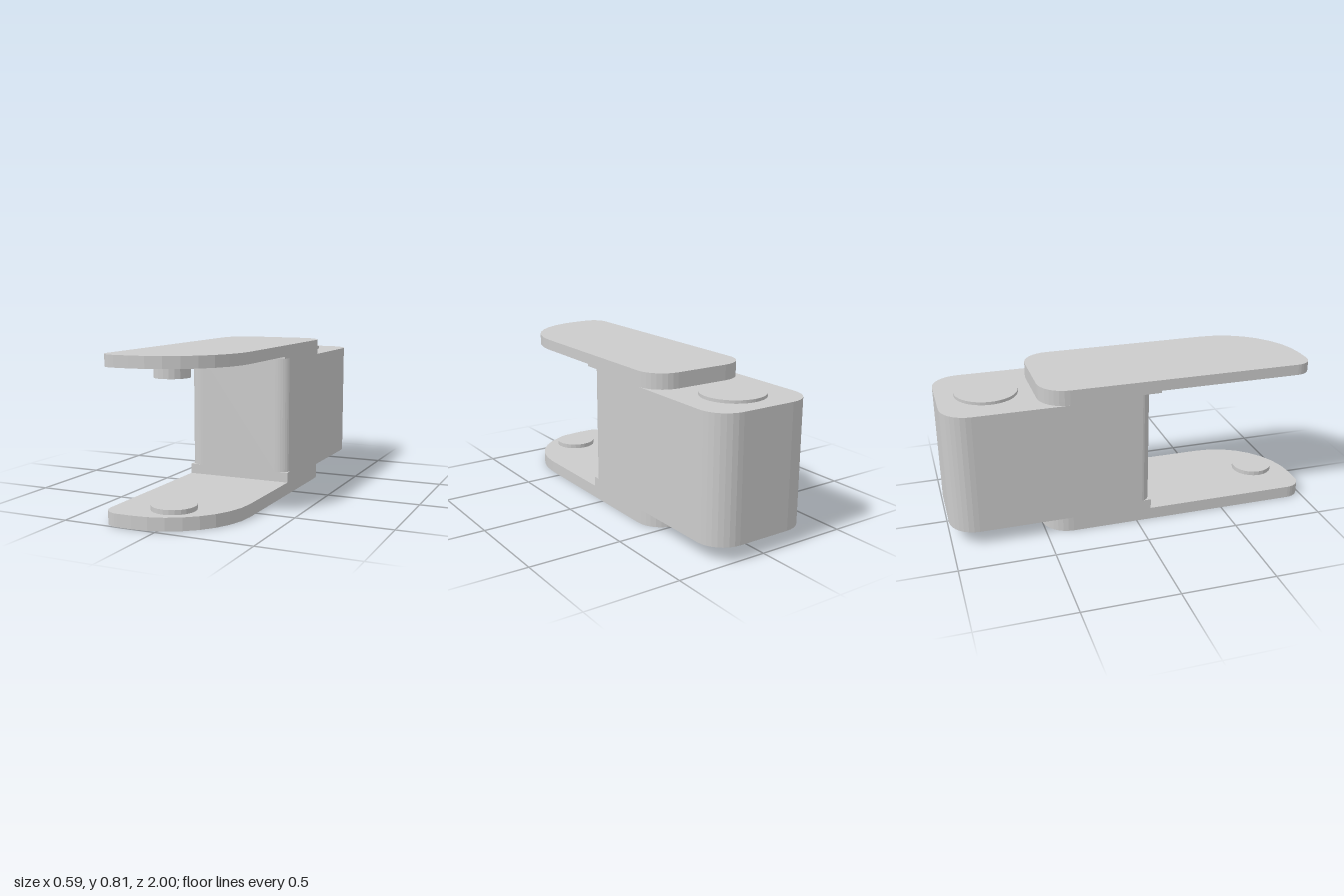
import * as THREE from 'three';

const W = 0.294; // half width of the link
const material = new THREE.MeshStandardMaterial({ color: 0xcccccc, flatShading: true });

// Plan outline with elliptical corners: [rx, rz] for left-front, right-front; round rear corners.
// Shape y is -z, so the rear is at the top.
function outline(rear, front, leftFront, rightFront, rearRadius = 0.145) {
  const s = new THREE.Shape();
  const corners = [
    [1, -front, leftFront, -0.5],
    [1, -rear, [rearRadius, rearRadius], 0],
    [-1, -rear, [rearRadius, rearRadius], 0.5],
    [-1, -front, rightFront, 1],
  ];
  s.moveTo(-W + rightFront[0], -front);
  for (const [sx, y, [rx, ry], turn] of corners) {
    const inward = y === -front ? 1 : -1;
    if (rx === 0) s.lineTo(sx * W, y);
    else {
      s.absellipse(sx * (W - rx), y + inward * ry, rx, ry,
        turn * Math.PI, (turn + 0.5) * Math.PI, false, 0);
    }
  }
  s.closePath();
  return s;
}

function layer(name, shape, y0, y1) {
  const geo = new THREE.ExtrudeGeometry(shape, { depth: y1 - y0, bevelEnabled: false, curveSegments: 4 });
  geo.rotateX(-Math.PI / 2);
  geo.translate(0, y0, 0);
  const mesh = new THREE.Mesh(geo, material);
  mesh.name = name;
  return mesh;
}

function disc(name, radius, y0, y1, z, sides) {
  const mesh = new THREE.Mesh(new THREE.CylinderGeometry(radius, radius, y1 - y0, sides), material);
  mesh.position.set(0, (y0 + y1) / 2, z);
  mesh.name = name;
  return mesh;
}

export function createModel() {
  const link = new THREE.Group();
  link.name = 'chainLink';

  const square = [0, 0];
  const soft = [0.075, 0.05];
  const plate = outline(-0.5, 1, [0.42, 0.42], [0.09, 0.09]);

  // Link stacked from the bottom plate up to the top plate
  link.add(
    layer('bottomPlate', plate, 0, 0.066),
    layer('bottomPlateStep', outline(-0.5, 0.08, square, square), 0.066, 0.08),
    layer('bodyBase', outline(-1, 0.08, square, square), 0.08, 0.12),
    layer('body', outline(-1, 0.08, soft, soft), 0.12, 0.732),
    layer('bodyNeck', outline(-0.5, 0.08, soft, soft), 0.732, 0.743),
    layer('topPlateStep', outline(-0.5, 0.13, square, square), 0.743, 0.755),
    layer('topPlate', plate, 0.755, 0.814),
  );

  // Hinge boss on the rear body, and pins facing each other between the plates
  link.add(
    disc('rearBoss', 0.167, 0.72, 0.748, -0.738, 40),
    disc('upperPin', 0.088, 0.702, 0.76, 0.815, 20),
    disc('lowerPin', 0.113, 0.06, 0.09, 0.812, 24),
  );
  return link;
}
